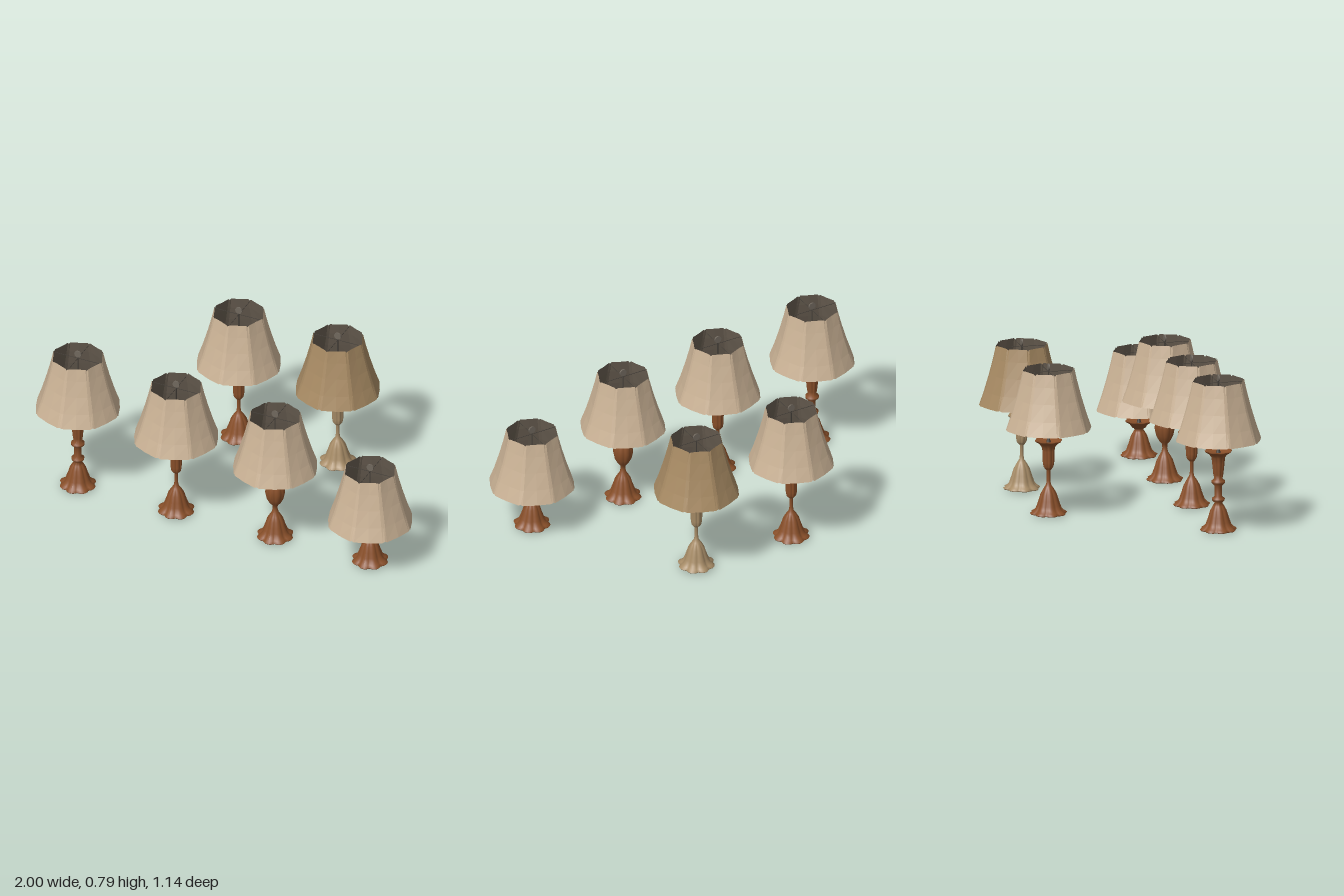
import * as THREE from 'three';

const mat = (name, color, flatShading = false) => {
  const m = new THREE.MeshStandardMaterial({ color, flatShading });
  m.name = name;
  return m;
};

// Foot profile shared by every lamp: [radius, height, flute depth]
const FOOT = [
  [0, 0.006, 0], [0.088, 0.006, 0.13], [0.092, 0.012, 0.13], [0.078, 0.02, 0.12],
  [0.065, 0.034, 0.1], [0.059, 0.05, 0.1], [0.05, 0.075, 0.1], [0.041, 0.105, 0.1], [0.028, 0.128, 0.08],
];
// Petalled cup that closes a stem at height y
const cup = (y) => [
  [0.034, y - 0.035, 0.1], [0.046, y - 0.018, 0.12], [0.067, y - 0.005, 0.13], [0.068, y, 0.13],
  [0.04, y - 0.008, 0.08], [0, y - 0.012, 0],
];
const STEMS = {
  column: [
    [0.018, 0.143, 0], [0.03, 0.155, 0], [0.032, 0.165, 0], [0.018, 0.175, 0], [0.018, 0.228, 0],
    [0.033, 0.243, 0], [0.033, 0.253, 0], [0.02, 0.264, 0], [0.025, 0.285, 0.12], [0.031, 0.34, 0.14], ...cup(0.405),
  ],
  slim: [
    [0.02, 0.14, 0], [0.012, 0.152, 0], [0.009, 0.172, 0], [0.009, 0.222, 0], [0.018, 0.232, 0.1],
    [0.025, 0.242, 0.12], [0.029, 0.265, 0.14], [0.03, 0.32, 0.14], ...cup(0.375),
  ],
  vase: [
    [0.017, 0.145, 0], [0.012, 0.165, 0], [0.013, 0.185, 0], [0.028, 0.202, 0.05], [0.043, 0.23, 0.08],
    [0.051, 0.268, 0.09], [0.047, 0.298, 0.08], [0.037, 0.328, 0.06], [0.023, 0.352, 0.03],
    [0.012, 0.366, 0], [0, 0.37, 0],
  ],
  squat: [[0.022, 0.135, 0.05], [0.025, 0.145, 0.05], ...cup(0.183)],
};

// Lathe whose radius is pressed into eight lobes
function flutedLathe(profile) {
  const segs = 64;
  const geo = new THREE.LatheGeometry(profile.map(([r, y]) => new THREE.Vector2(r, y)), segs);
  const p = geo.attributes.position;
  for (let i = 0; i < p.count; i++) {
    const depth = profile[i % profile.length][2];
    const a = (Math.floor(i / profile.length) / segs) * Math.PI * 2;
    const k = 1 - depth * (1 - Math.abs(Math.cos(a * 4)));
    p.setXYZ(i, p.getX(i) * k, p.getY(i), p.getZ(i) * k);
  }
  geo.computeVertexNormals();
  return geo;
}

// Eight-panel flared shade with small notches at the corners of both rims;
// the lining is the same surface facing inward
function shadeGeometry(height, lining) {
  const rings = [[0.2125, 0], [0.188, 0.24], [0.163, 0.52], [0.142, 0.79], [0.128, 1]];
  const steps = [-3, 0, 3, 22.5];
  const pos = [], idx = [], n = 32;
  const inset = lining ? 0.0015 : 0;
  rings.forEach(([r, t], j) => {
    for (let i = 0; i <= n; i++) {
      const a = THREE.MathUtils.degToRad(Math.floor(i / 4) * 45 + steps[i % 4]);
      const rr = (i % 4 === 3 ? r * (0.965 - 0.035 * t) : r) - inset;
      let y = t * height;
      if (i % 4 === 1) y += j === 0 ? 0.005 : j === rings.length - 1 ? -0.007 : 0;
      pos.push(Math.sin(a) * rr, y, Math.cos(a) * rr);
    }
  });
  for (let j = 0; j < rings.length - 1; j++) {
    for (let i = 0; i < n; i++) {
      const a = j * (n + 1) + i, b = a + 1, c = a + n + 1, d = c + 1;
      if (lining) idx.push(a, d, b, a, c, d);
      else idx.push(a, b, d, a, d, c);
    }
  }
  const geo = new THREE.BufferGeometry();
  geo.setAttribute('position', new THREE.Float32BufferAttribute(pos, 3));
  geo.setIndex(idx);
  geo.computeVertexNormals();
  return geo;
}

export function createModel() {
  const wood = mat('brown wood', 0x8a502a);
  const paleWood = mat('pale wood', 0xa78c67);
  const cream = mat('cream fabric', 0xcab295, true);
  const tan = mat('tan fabric', 0xa78a63, true);
  const lining = mat('dark lining', 0x6c6154, true);
  const metal = mat('dark metal', 0x45403a);
  const grey = mat('grey fitting', 0x70685e);
  const shadeHeight = 0.297;
  const outerGeo = shadeGeometry(shadeHeight, false);
  const innerGeo = shadeGeometry(shadeHeight, true);

  const add = (parent, name, geo, material, x = 0, y = 0, z = 0) => {
    const m = new THREE.Mesh(geo, material);
    m.name = name;
    m.position.set(x, y, z);
    parent.add(m);
    return m;
  };

  function lamp(name, stem, stemTop, shadeBottom, body, fabric) {
    const g = new THREE.Group();
    g.name = name;
    const shadeTop = shadeBottom + shadeHeight;
    add(g, 'lampBase', flutedLathe([...FOOT, ...STEMS[stem]]), body);
    for (let i = 0; i < 4; i++) {
      const a = ((i + 0.5) * Math.PI) / 2;
      add(g, 'footPad', new THREE.CylinderGeometry(0.015, 0.015, 0.008, 12), body,
        Math.sin(a) * 0.05, 0.004, Math.cos(a) * 0.05);
    }
    add(g, 'shade', outerGeo, fabric, 0, shadeBottom, 0);
    add(g, 'shadeLining', innerGeo, lining, 0, shadeBottom, 0);

    // Central rod with a collar below, topped by a flat round finial
    const rodLen = shadeTop + 0.025 - stemTop;
    add(g, 'rod', new THREE.CylinderGeometry(0.003, 0.003, rodLen, 8), metal, 0, stemTop - 0.02 + rodLen / 2, 0);
    add(g, 'collar', new THREE.CylinderGeometry(0.005, 0.012, 0.025, 12), metal, 0, stemTop, 0);
    add(g, 'finial', new THREE.CylinderGeometry(0.018, 0.018, 0.007, 20), grey, 0, shadeTop + 0.011, 0)
      .rotation.x = Math.PI / 2;

    // Wires that carry the shade
    add(g, 'shadeWire', new THREE.BoxGeometry(0.25, 0.002, 0.002), metal, 0, shadeTop - 0.012, 0);
    add(g, 'shadeWire', new THREE.BoxGeometry(0.002, 0.002, 0.25), metal, 0, shadeTop - 0.012, 0);

    // Pair of sideways bulbs on a central socket
    const bulbY = shadeBottom + 0.14;
    add(g, 'socket', new THREE.CylinderGeometry(0.014, 0.014, 0.03, 12), metal, 0, bulbY, 0);
    for (const s of [-1, 1]) {
      add(g, 'bulbHolder', new THREE.CylinderGeometry(0.009, 0.009, 0.05, 10), grey, s * 0.035, bulbY, 0)
        .rotation.z = Math.PI / 2;
      add(g, 'bulb', new THREE.CapsuleGeometry(0.015, 0.018, 4, 12), grey, s * 0.07, bulbY, 0)
        .rotation.z = Math.PI / 2;
    }
    return g;
  }

  const model = new THREE.Group();
  model.name = 'tableLamps';
  const lamps = [
    ['columnLamp', 'column', 0.405, 0.46, wood, cream, -0.7875, 0.36],
    ['slimLampFront', 'slim', 0.375, 0.433, wood, cream, -0.258, 0.36],
    ['vaseLamp', 'vase', 0.37, 0.409, wood, cream, 0.275, 0.36],
    ['squatLamp', 'squat', 0.183, 0.239, wood, cream, 0.7865, 0.36],
    ['slimLampBack', 'slim', 0.375, 0.433, wood, cream, -0.258, -0.36],
    ['paleLamp', 'slim', 0.375, 0.433, paleWood, tan, 0.275, -0.36],
  ];
  for (const [name, stem, top, shade, body, fabric, x, z] of lamps) {
    const l = lamp(name, stem, top, shade, body, fabric);
    l.position.set(x, 0, z);
    model.add(l);
  }
  return model;
}
